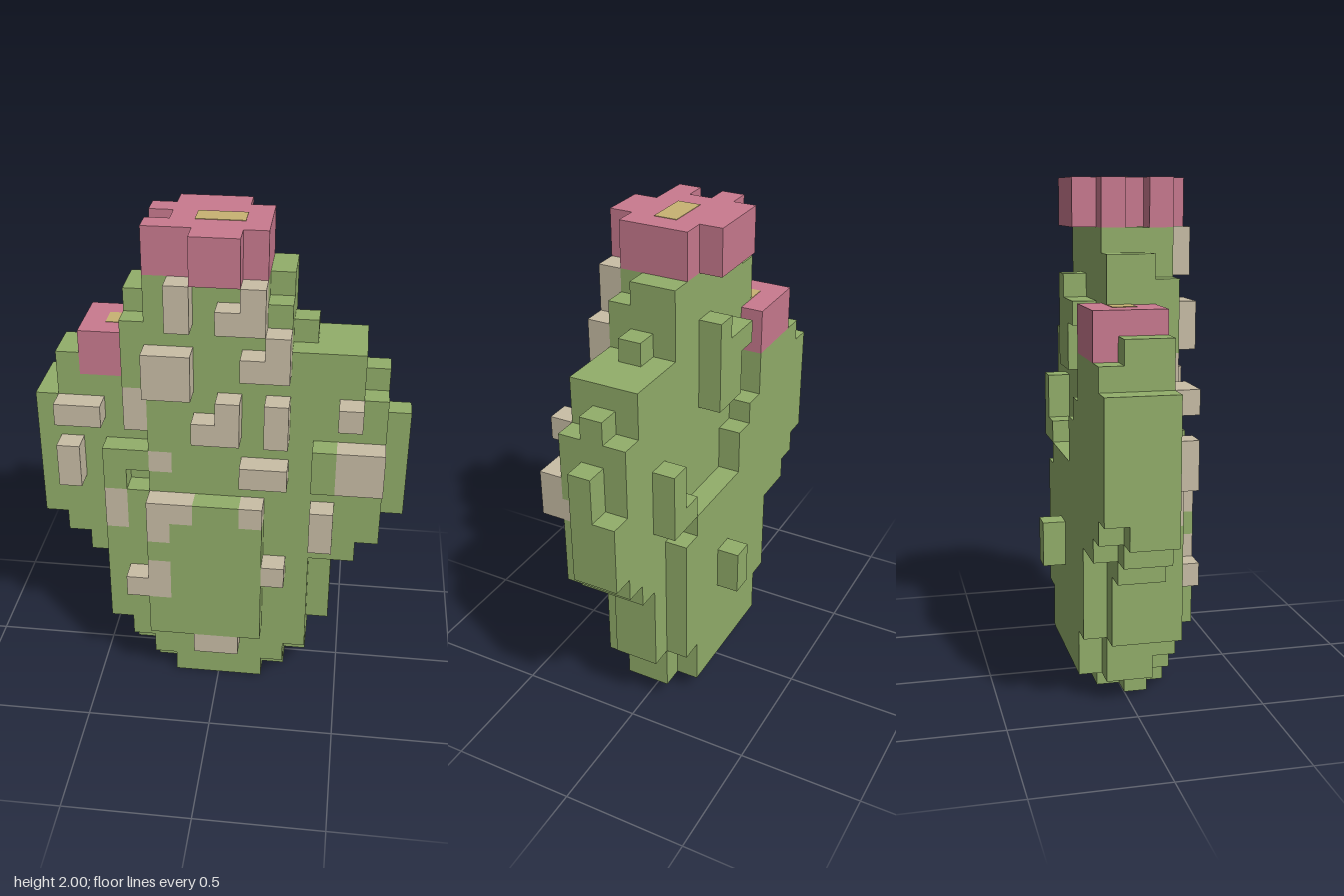
import * as THREE from 'three';

const U = 1 / 11; // cube size

export function createModel() {
  const mat = (name, color) => new THREE.MeshStandardMaterial({ name, color });
  const mats = {
    body: mat('cactus green', 0x92ae6a),
    spines: mat('spine beige', 0xc9bea6),
    flowers: mat('flower pink', 0xc97a8f),
    pollen: mat('pollen yellow', 0xc8b273),
  };

  // Cubes are stored by grid cell; later fills repaint earlier ones
  const cells = new Map();
  const key = (x, y, z) => `${x},${y},${z}`;
  function fill(part, x0, x1, y0, y1, z0, z1) {
    for (let x = x0; x < x1; x++)
      for (let y = y0; y < y1; y++)
        for (let z = z0; z < z1; z++) cells.set(key(x, y, z), { part, p: [x, y, z] });
  }
  // A layer of the body: bands of [y0, y1, x0, x1]
  const layer = (z0, z1, bands) => bands.forEach(([y0, y1, x0, x1]) => fill('body', x0, x1, y0, y1, z0, z1));

  // Core of the cactus pads
  layer(-1, 1, [
    [0, 1, -2, 2], [1, 3, -4, 4], [3, 6, -5, 5], [6, 7, -6, 5], [7, 8, -7, 6], [8, 9, -8, 7],
    [9, 14, -8, 7], [14, 15, -7, 7], [15, 16, -7, 6], [16, 17, -4, 6], [17, 18, -4, 3],
    [18, 19, -4, 3], [19, 20, -3, 3],
  ]);
  layer(0, 1, [[0, 1, -3, 3], [9, 14, 7, 8], [15, 16, 6, 7], [17, 18, 3, 4]]);
  layer(-1, 0, [[9, 12, 7, 8]]);
  // Front layer
  layer(1, 2, [
    [0, 1, -2, 2], [1, 2, -3, 3], [2, 3, -4, 4], [3, 7, -5, 4], [7, 8, -5, 6], [8, 10, -5, 7],
    [10, 11, -5, -4], [10, 11, -3, 7], [11, 12, -5, 7], [12, 13, -3, 7], [13, 15, -4, 7],
    [15, 17, -4, 6], [17, 18, -4, 3], [18, 19, -3, 3], [19, 20, -3, 2],
  ]);
  // Raised front slab and knob
  layer(2, 3, [[3, 10, -3, 2], [11, 13, 4, 5]]);
  // Back layer with loose lumps and one knob
  layer(-2, -1, [
    [1, 3, -3, 3], [3, 7, -4, 4], [7, 8, -6, 4], [8, 9, -7, 4], [9, 10, -8, 3], [10, 12, -8, -1],
    [12, 13, -8, -2], [13, 14, -8, -3], [14, 15, -7, -3],
    [14, 18, 0, 1], [14, 17, -1, 0], [16, 17, -2, -1], [10, 13, 4, 5], [10, 11, 3, 4],
  ]);
  layer(-3, -2, [[5, 7, 0, 1]]);

  // Spines standing out of the front: [x0, x1, y0, y1]
  [
    [-1, 1, 2, 3], [-4, -3, 5, 6], [2, 3, 6, 7], [4, 5, 8, 10], [1, 3, 11, 12], [5, 7, 11, 13],
    [2, 3, 13, 15], [5, 6, 14, 15], [-1, 1, 13, 14], [0, 1, 14, 15], [-3, -1, 15, 17],
    [1, 3, 16, 17], [2, 3, 17, 18], [0, 2, 18, 19], [1, 2, 19, 20], [-2, -1, 18, 20],
    // Patches on the raised slab
    [-3, -2, 5, 7], [-3, -1, 9, 10], [-3, -2, 8, 9], [1, 2, 9, 10],
  ].forEach(([x0, x1, y0, y1]) => fill('spines', x0, x1, y0, y1, 2, 3));
  // Spines one step further back
  [
    [-7, -5, 13, 14], [-7, -6, 10, 12], [-5, -4, 8, 10], [-4, -3, 13, 15], [-3, -2, 11, 12], [6, 7, 11, 12],
  ].forEach(([x0, x1, y0, y1]) => fill('spines', x0, x1, y0, y1, 1, 2));

  // Crown flower, a ragged cross
  [[-2, 1, -2], [-3, 2, -1], [-2, 2, 0], [-3, 2, 1], [-1, 1, 2]]
    .forEach(([x0, x1, z]) => fill('flowers', x0, x1, 20, 22, z, z + 1));
  // Side flower
  fill('flowers', -6, -4, 15, 17, -1, 1);
  fill('flowers', -6, -3, 15, 17, -2, -1);

  // Visible cube faces only, gathered per part
  const soup = {};
  for (const { part, p } of cells.values()) {
    const out = (soup[part] ??= { position: [], normal: [] });
    for (let a = 0; a < 3; a++) {
      for (const s of [-1, 1]) {
        const n = [0, 0, 0];
        n[a] = s;
        if (cells.has(key(p[0] + n[0], p[1] + n[1], p[2] + n[2]))) continue;
        const corner = (i, j) => {
          const c = [...p];
          c[a] += s > 0 ? 1 : 0;
          c[(a + 1) % 3] += i;
          c[(a + 2) % 3] += j;
          return c.map((v) => v * U);
        };
        const q = [corner(0, 0), corner(1, 0), corner(1, 1), corner(0, 1)];
        if (s < 0) q.reverse();
        for (const i of [0, 1, 2, 0, 2, 3]) {
          out.position.push(...q[i]);
          out.normal.push(...n);
        }
      }
    }
  }

  const group = new THREE.Group();
  group.name = 'cactus';
  for (const [part, data] of Object.entries(soup)) {
    const geo = new THREE.BufferGeometry();
    for (const name of ['position', 'normal'])
      geo.setAttribute(name, new THREE.Float32BufferAttribute(data[name], 3));
    const mesh = new THREE.Mesh(geo, mats[part]);
    mesh.name = part;
    group.add(mesh);
  }

  // Pollen patches on top of both flowers
  function pollen(name, x0, x1, y, z0, z1) {
    const mesh = new THREE.Mesh(new THREE.BoxGeometry((x1 - x0) * U, 0.004, (z1 - z0) * U), mats.pollen);
    mesh.position.set(((x0 + x1) / 2) * U, y * U, ((z0 + z1) / 2) * U);
    mesh.name = name;
    group.add(mesh);
  }
  pollen('crownPollen', -1, 1, 22, 0, 1);
  pollen('sidePollen', -5, -4, 17, -1, 0);
  return group;
}
